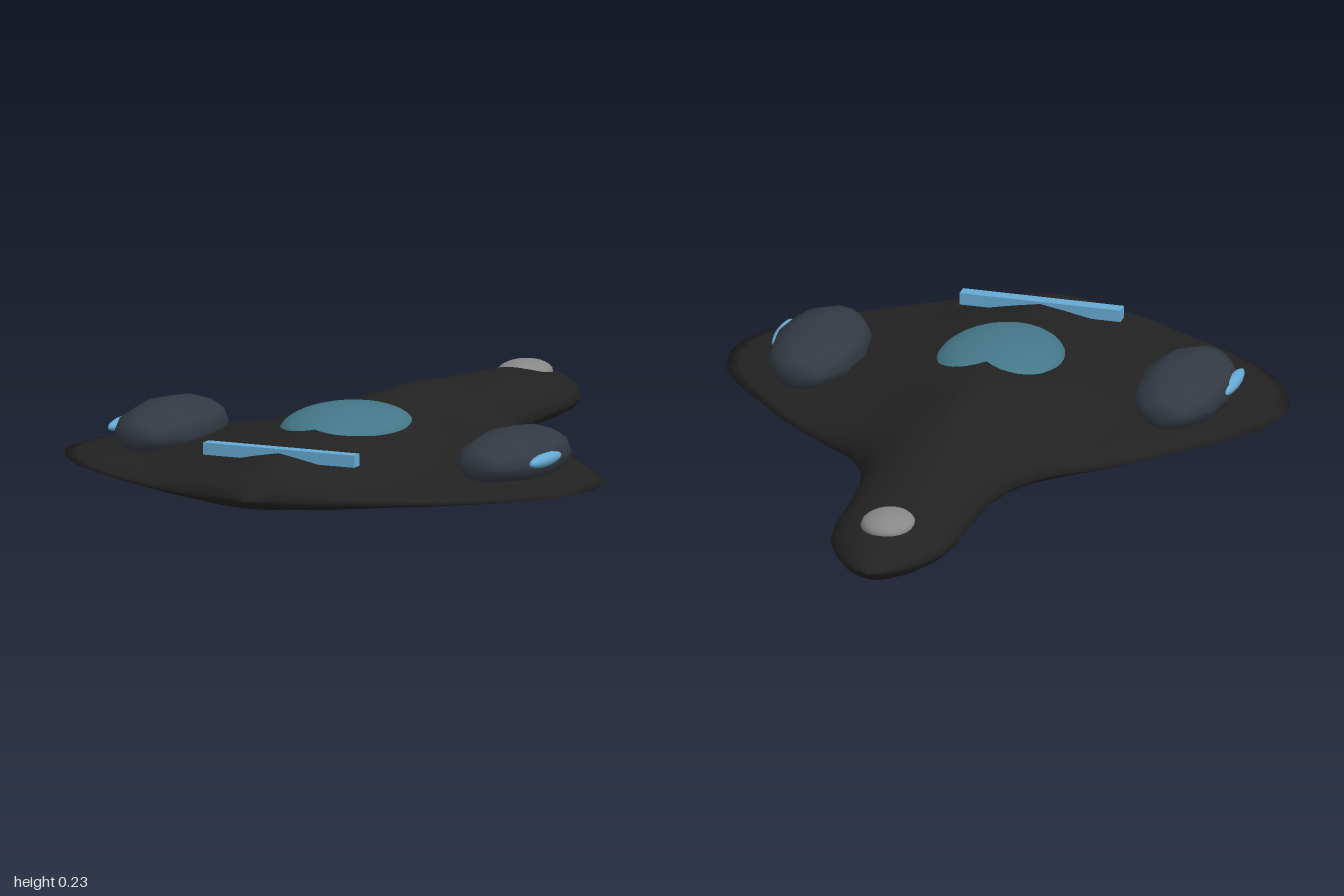
import * as THREE from 'three';

const mat = (name, color) => {
  const m = new THREE.MeshStandardMaterial({ color });
  m.name = name;
  return m;
};

// Hull stations from nose to tail: z, half width, top y, bottom y
const RIM = 0.065;
const STATIONS = [
  [1, 0, 0.066, 0.064], [0.97, 0.08, 0.095, 0.045], [0.945, 0.2, 0.113, 0.036], [0.9, 0.33, 0.135, 0.032],
  [0.8, 0.52, 0.16, 0.03], [0.7, 0.65, 0.174, 0.029], [0.6, 0.735, 0.185, 0.028], [0.5, 0.783, 0.195, 0.027],
  [0.42, 0.795, 0.2, 0.027], [0.3, 0.773, 0.209, 0.026], [0.2, 0.71, 0.215, 0.025], [0.1, 0.62, 0.219, 0.021],
  [0, 0.53, 0.22, 0.015], [-0.1, 0.42, 0.217, 0.009], [-0.2, 0.28, 0.206, 0.005], [-0.3, 0.217, 0.192, 0.005],
  [-0.4, 0.19, 0.18, 0.004], [-0.55, 0.18, 0.168, 0.003], [-0.7, 0.178, 0.155, 0.001], [-0.8, 0.162, 0.143, 0],
  [-0.88, 0.125, 0.127, 0.01], [-0.94, 0.085, 0.103, 0.025], [-0.98, 0.04, 0.08, 0.045], [-1, 0, 0.066, 0.064],
];

// Height fractions across the half width, from centre line to rim
const ACROSS = [0, 0.06, 0.12, 0.25, 0.38, 0.5, 0.63, 0.75, 0.86, 0.95, 1];
const TOP_WIDE = [1, 0.94, 0.88, 0.73, 0.55, 0.39, 0.27, 0.2, 0.13, 0.06, 0];
const LOW_WIDE = [1, 0.99, 0.98, 0.92, 0.85, 0.77, 0.65, 0.5, 0.34, 0.16, 0];

function hullGeometry() {
  const n = ACROSS.length - 1, ring = 4 * n;
  const pos = [], index = [];
  for (const [z, w, top, low] of STATIONS) {
    const wide = THREE.MathUtils.smoothstep(w, 0.17, 0.52);
    for (let j = 0; j < ring; j++) {
      // walk: right rim, over the top, left rim, back underneath
      const upper = j < 2 * n;
      const s = upper ? n - j : j - 3 * n;
      const i = Math.abs(s), t = ACROSS[i];
      const round = Math.pow(1 - t * t, 0.65);
      const f = THREE.MathUtils.lerp(round, (upper ? TOP_WIDE : LOW_WIDE)[i], wide);
      pos.push(Math.sign(s) * t * w, RIM + ((upper ? top : low) - RIM) * f, z);
    }
  }
  for (let k = 0; k < STATIONS.length - 1; k++) {
    for (let j = 0; j < ring; j++) {
      const a = k * ring + j, b = k * ring + (j + 1) % ring;
      index.push(a, a + ring, b, b, a + ring, b + ring);
    }
  }
  const g = new THREE.BufferGeometry();
  g.setAttribute('position', new THREE.Float32BufferAttribute(pos, 3));
  g.setIndex(index);
  g.computeVertexNormals();
  return g;
}

// Ellipsoid with its poles along z
function ellipsoid(rx, ry, rz, around, along) {
  const g = new THREE.SphereGeometry(1, around, along);
  g.rotateX(Math.PI / 2);
  g.scale(rx, ry, rz);
  return g;
}

export function createModel() {
  const group = new THREE.Group();
  const black = mat('hull black', 0x222222);
  const slate = mat('pod slate', 0x333a44);
  const teal = mat('canopy teal', 0x447788);
  const blue = mat('light blue', 0x66aad4);
  const grey = mat('beacon grey', 0x888888);

  const add = (name, geometry, material, x, y, z) => {
    const m = new THREE.Mesh(geometry, material);
    m.name = name;
    m.position.set(x, y, z);
    group.add(m);
  };

  add('hull', hullGeometry(), black, 0, 0, 0);
  add('canopy', ellipsoid(0.177, 0.07, 0.227, 32, 20), teal, 0, 0.16, 0.34);
  add('noseLightBar', new THREE.BoxGeometry(0.46, 0.034, 0.036), blue, 0, 0.158, 0.757);
  add('tailBeacon', ellipsoid(0.075, 0.035, 0.09, 20, 12), grey, 0, 0.13, -0.785);

  // Engine pods with side lights, mirrored
  for (const [side, s] of [['left', 1], ['right', -1]]) {
    add(side + 'Pod', ellipsoid(0.133, 0.08, 0.243, 12, 6), slate, s * 0.523, 0.13, 0.365);
    add(side + 'PodLight', ellipsoid(0.02, 0.019, 0.093, 12, 8), blue, s * 0.643, 0.138, 0.42);
  }
  return group;
}
